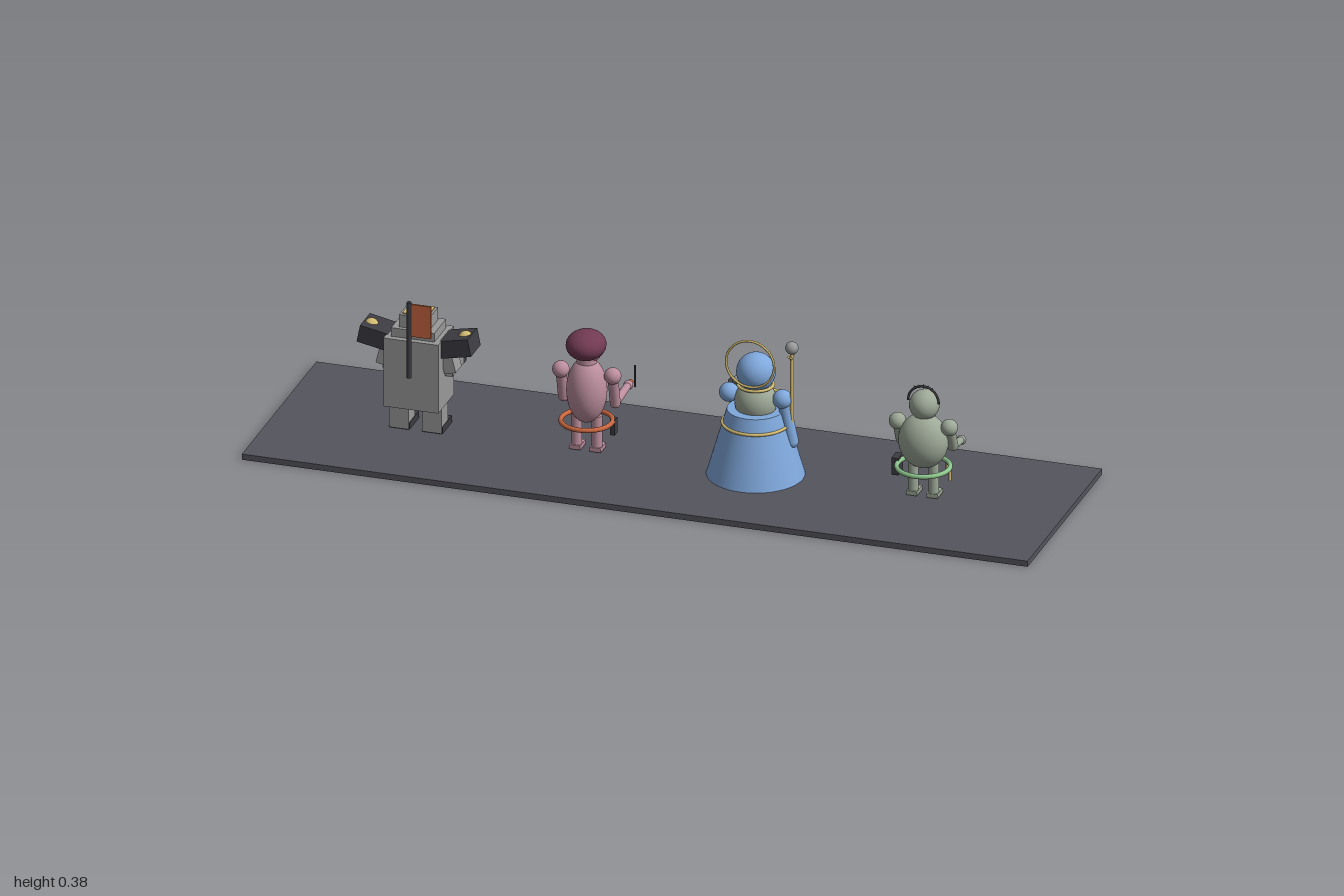
import * as THREE from 'three';

const mat = (name, color, side = THREE.FrontSide) => {
  const m = new THREE.MeshStandardMaterial({ color, side });
  m.name = name;
  return m;
};

export function createModel() {
  const slate = mat('slate', 0x55545d), grey = mat('grey', 0x999999), dark = mat('charcoal', 0x3c3c42);
  const copper = mat('copper', 0xc8663f), pink = mat('pink', 0xbc8e9d), maroon = mat('maroon', 0x71395a);
  const blue = mat('blue', 0x7fa8dc), sage = mat('sage', 0x9da897);
  const gold = mat('gold', 0xd0b970), green = mat('green', 0x8cc48c);
  maroon.color.set(0x713a52);

  const root = new THREE.Group();
  const group = (name, x) => {
    const g = new THREE.Group();
    g.name = name;
    g.position.x = x;
    root.add(g);
    return g;
  };
  const add = (g, name, geo, m, x = 0, y = 0, z = 0) => {
    const mesh = new THREE.Mesh(geo, m);
    mesh.name = name;
    mesh.position.set(x, y, z);
    g.add(mesh);
    return mesh;
  };
  const box = (g, name, m, w, h, d, x, y, z) => add(g, name, new THREE.BoxGeometry(w, h, d), m, x, y, z);
  const ball = (g, name, m, x, y, z, rx, ry = rx, rz = rx) => {
    const s = add(g, name, new THREE.SphereGeometry(1, 32, 20), m, x, y, z);
    s.scale.set(rx, ry, rz);
    return s;
  };
  // Tapered rod running from point a to point b
  const rod = (g, name, m, a, b, r0, r1 = r0) => {
    const p = new THREE.Vector3(...a), q = new THREE.Vector3(...b);
    const d = q.clone().sub(p);
    const mesh = add(g, name, new THREE.CylinderGeometry(r1, r0, d.length(), 20), m);
    mesh.position.copy(p).add(q).multiplyScalar(0.5);
    mesh.quaternion.setFromUnitVectors(new THREE.Vector3(0, 1, 0), d.normalize());
    return mesh;
  };
  const ring = (g, name, m, R, r, x, y, z, flat = true) => {
    const t = add(g, name, new THREE.TorusGeometry(R, r, 12, 48), m, x, y, z);
    if (flat) t.rotation.x = Math.PI / 2;
    return t;
  };

  // Display slab
  box(root, 'displaySlab', slate, 2, 0.015, 0.572, 0, 0.0075, 0);

  // Boxy robot, facing -z like the other figures
  const bot = group('boxRobot', -0.645);
  box(bot, 'torso', grey, 0.14, 0.181, 0.12, 0, 0.176, 0);
  box(bot, 'collar', grey, 0.11, 0.025, 0.09, 0, 0.277, 0);
  box(bot, 'head', grey, 0.076, 0.045, 0.07, 0, 0.3, 0);
  box(bot, 'headPlate', gold, 0.064, 0.004, 0.056, 0, 0.3235, 0);
  box(bot, 'faceVisor', gold, 0.06, 0.013, 0.008, 0, 0.308, -0.037);
  box(bot, 'chestPanel', dark, 0.1, 0.05, 0.006, 0, 0.225, -0.062);
  ball(bot, 'chestLamp', gold, 0, 0.193, -0.072, 0.018);
  for (const s of [-1, 1]) {
    box(bot, 'leg', grey, 0.05, 0.075, 0.05, s * 0.042, 0.055, 0);
    box(bot, 'foot', dark, 0.052, 0.018, 0.075, s * 0.042, 0.024, -0.014);
    const pad = box(bot, 'shoulderPad', dark, 0.09, 0.045, 0.075, s * 0.097, 0.25, 0);
    pad.rotation.z = s * 0.2;
    ball(bot, 'shoulderLamp', gold, s * 0.12, 0.268, 0, 0.018);
    const arm = box(bot, 'upperArm', grey, 0.03, 0.07, 0.045, s * 0.079, 0.212, 0);
    arm.rotation.z = s * 0.25;
    box(bot, 'forearm', grey, 0.032, 0.032, 0.1, s * 0.073, 0.18, -0.04);
    box(bot, 'hand', dark, 0.034, 0.034, 0.02, s * 0.073, 0.18, -0.085);
  }
  rod(bot, 'flagPole', dark, [0.002, 0.18, 0.08], [0.002, 0.38, 0.08], 0.006);
  box(bot, 'flag', copper, 0.052, 0.085, 0.005, 0.032, 0.333, 0.08);

  // Rounded seated-looking figures share legs, arms and a waist ring
  const roundFigure = (g, m, ringMat, o) => {
    ball(g, 'body', m, 0, o.bodyY, 0, o.rx, o.ry, o.rz);
    ring(g, 'waistRing', ringMat, o.ringR, 0.006, 0, 0.094, 0);
    for (const s of [-1, 1]) {
      const x = s * o.armX;
      rod(g, 'leg', m, [s * 0.026, 0.02, 0], [s * 0.026, 0.11, 0], 0.013);
      box(g, 'foot', m, 0.028, 0.011, 0.042, s * 0.026, 0.0235, -0.007);
      ball(g, 'shoulder', m, x, o.shoulderY, 0, 0.021);
      rod(g, 'upperArm', m, [x, o.shoulderY, 0], [x, o.elbow[0], o.elbow[1]], 0.013);
      ball(g, 'elbow', m, x, o.elbow[0], o.elbow[1], 0.013);
      rod(g, 'forearm', m, [x, o.elbow[0], o.elbow[1]], [x, o.hand[0], o.hand[1]], 0.011, 0.009);
      ball(g, 'hand', o.handMat, x, o.hand[0], o.hand[1], 0.012);
    }
  };

  // Pink figure with a maroon cap of hair
  const pinkFig = group('pinkFigure', -0.217);
  roundFigure(pinkFig, pink, copper, {
    bodyY: 0.175, rx: 0.05, ry: 0.085, rz: 0.05, ringR: 0.063, armX: 0.066,
    shoulderY: 0.22, elbow: [0.14, -0.02], hand: [0.145, -0.12], handMat: pink,
  });
  rod(pinkFig, 'neck', pink, [0, 0.24, 0], [0, 0.285, 0], 0.025);
  ball(pinkFig, 'face', pink, 0, 0.28, -0.008, 0.036);
  ball(pinkFig, 'hair', maroon, 0, 0.296, 0.005, 0.049, 0.037, 0.053);
  for (const s of [-1, 1]) {
    box(pinkFig, 'thinStick', dark, 0.004, 0.058, 0.003, s * 0.066, 0.146, -0.172);
  }
  rod(pinkFig, 'handle', copper, [0.066, 0.145, -0.128], [0.066, 0.145, -0.139], 0.007);
  box(pinkFig, 'pouch', dark, 0.012, 0.04, 0.022, 0.062, 0.078, -0.02);

  // Robed figure with halo, staff and ringed orb
  const robed = group('robedFigure', 0.213);
  add(robed, 'robe', new THREE.CylinderGeometry(0.07, 0.12, 0.172, 48), blue, 0, 0.101, 0);
  ring(robed, 'beltRing', gold, 0.081, 0.004, 0, 0.151, 0);
  ball(robed, 'chest', sage, 0, 0.205, 0, 0.052, 0.055, 0.048);
  box(robed, 'chestBand', gold, 0.12, 0.025, 0.012, 0, 0.205, -0.052);
  ball(robed, 'head', blue, 0, 0.283, -0.002, 0.048);
  ring(robed, 'neckRing', gold, 0.043, 0.004, 0, 0.25, 0);
  ball(robed, 'nose', gold, 0, 0.289, -0.05, 0.007);
  ring(robed, 'halo', gold, 0.061, 0.003, 0, 0.321, 0.043, false);
  for (const s of [-1, 1]) ball(robed, 'shoulder', blue, s * 0.068, 0.22, 0, 0.024);
  rod(robed, 'staffSleeve', blue, [0.07, 0.22, 0], [0.09, 0.11, -0.005], 0.015, 0.017);
  ball(robed, 'staffHand', blue, 0.09, 0.11, -0.005, 0.017);
  rod(robed, 'staff', gold, [0.092, 0.1, 0], [0.092, 0.345, 0], 0.005);
  for (const s of [-1, 1]) {
    rod(robed, 'staffProng', gold, [0.092, 0.332, s * 0.004], [0.092, 0.345, s * 0.024], 0.003);
  }
  ball(robed, 'staffOrb', grey, 0.092, 0.359, 0, 0.016);
  rod(robed, 'orbSleeve', blue, [-0.07, 0.22, 0], [-0.078, 0.16, -0.085], 0.014, 0.016);
  ball(robed, 'orbHand', sage, -0.078, 0.165, -0.107, 0.013);
  ball(robed, 'ringedOrb', grey, -0.078, 0.201, -0.107, 0.016);
  const disc = new THREE.CylinderGeometry(0.027, 0.027, 0.003, 32);
  add(robed, 'orbRing', disc, dark, -0.078, 0.201, -0.107);

  // Sage figure with a head band and green waist ring
  const sageFig = group('sageFigure', 0.64);
  roundFigure(sageFig, sage, green, {
    bodyY: 0.162, rx: 0.062, ry: 0.07, rz: 0.052, ringR: 0.065, armX: 0.066,
    shoulderY: 0.205, elbow: [0.145, -0.028], hand: [0.133, -0.092], handMat: grey,
  });
  ball(sageFig, 'head', sage, 0, 0.254, -0.007, 0.037, 0.038, 0.038);
  const band = add(sageFig, 'headBand', new THREE.TorusGeometry(0.039, 0.003, 8, 32, Math.PI), dark, 0, 0.264, 0);
  band.scale.y = 1.05;
  for (let i = -2; i <= 2; i++) {
    const a = i * 0.28;
    const tip = add(sageFig, 'bandSpike', new THREE.ConeGeometry(0.003, 0.01, 8), dark,
      Math.sin(a) * 0.042, 0.264 + Math.cos(a) * 0.043, 0);
    tip.rotation.z = -a;
  }
  for (const z of [-0.009, -0.03, -0.047]) {
    const x = Math.sqrt(0.065 ** 2 - z * z);
    rod(sageFig, 'hangingTool', gold, [x, 0.06, z], [x, 0.092, z], 0.0035);
  }
  box(sageFig, 'pouch', dark, 0.018, 0.045, 0.035, -0.072, 0.083, -0.015);
  return root;
}
